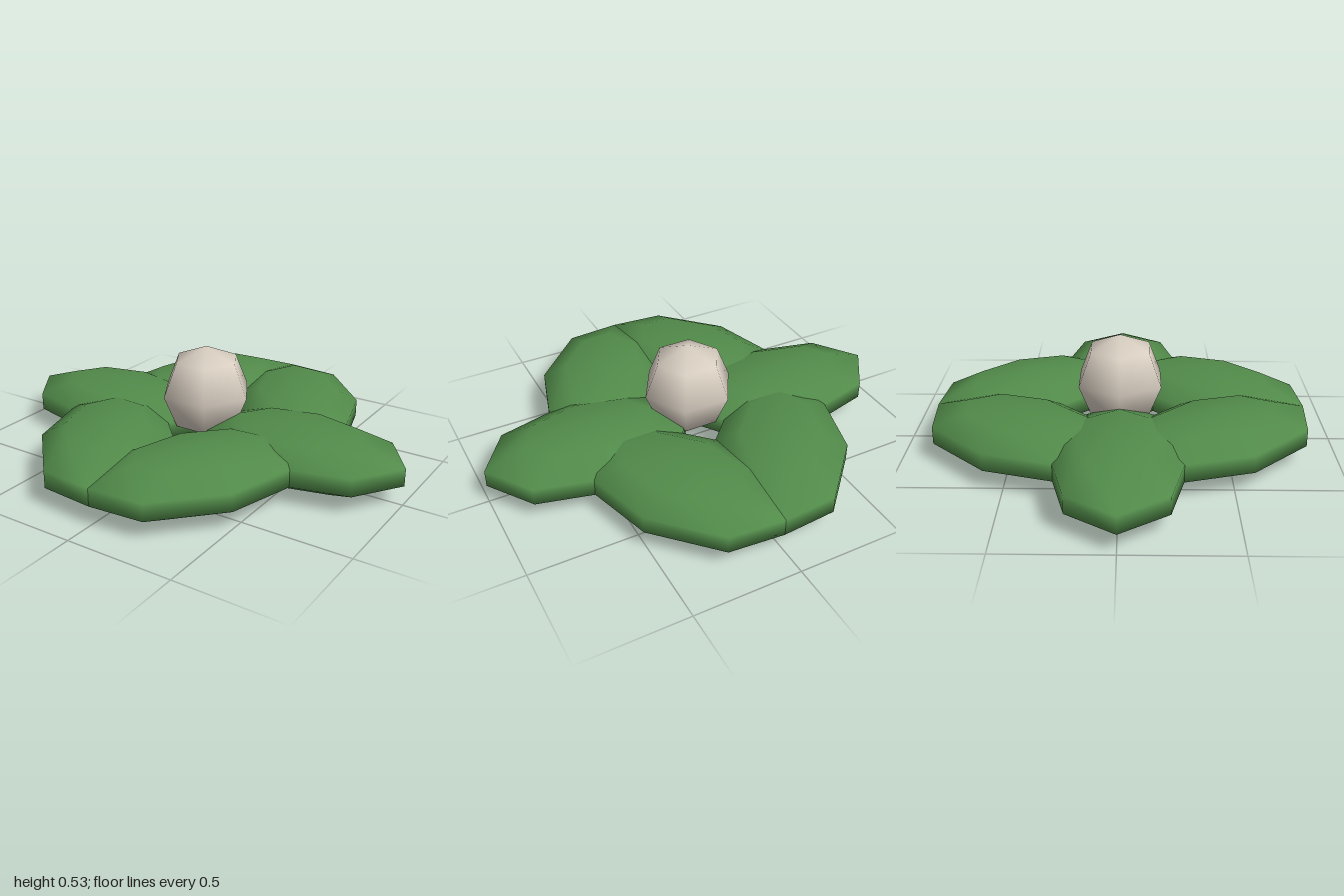
import * as THREE from 'three';

export function createModel() {
  const model = new THREE.Group();
  model.name = 'flower';

  const green = new THREE.MeshStandardMaterial({ color: 0x528b4a });
  green.name = 'leafGreen';
  const cream = new THREE.MeshStandardMaterial({ color: 0xd9cfc2 });
  cream.name = 'paleCream';

  // Six flattened low-poly petals in a ring, each skewed against its neighbour
  const petalGeometry = new THREE.SphereGeometry(1, 8, 5);
  petalGeometry.scale(0.526, 0.1315, 0.316);
  for (let i = 0; i < 6; i++) {
    const angle = (i * Math.PI) / 3;
    const petal = new THREE.Mesh(petalGeometry, green);
    petal.name = `petal${i + 1}`;
    petal.position.set(Math.cos(angle) * 0.5, 0.1315, Math.sin(angle) * 0.5);
    petal.rotation.y = angle;
    model.add(petal);
  }

  // Six-sided bud floating over the middle
  const bud = new THREE.Mesh(new THREE.SphereGeometry(0.219, 6, 4), cream);
  bud.name = 'centreBud';
  bud.position.y = 0.309;
  model.add(bud);

  return model;
}
